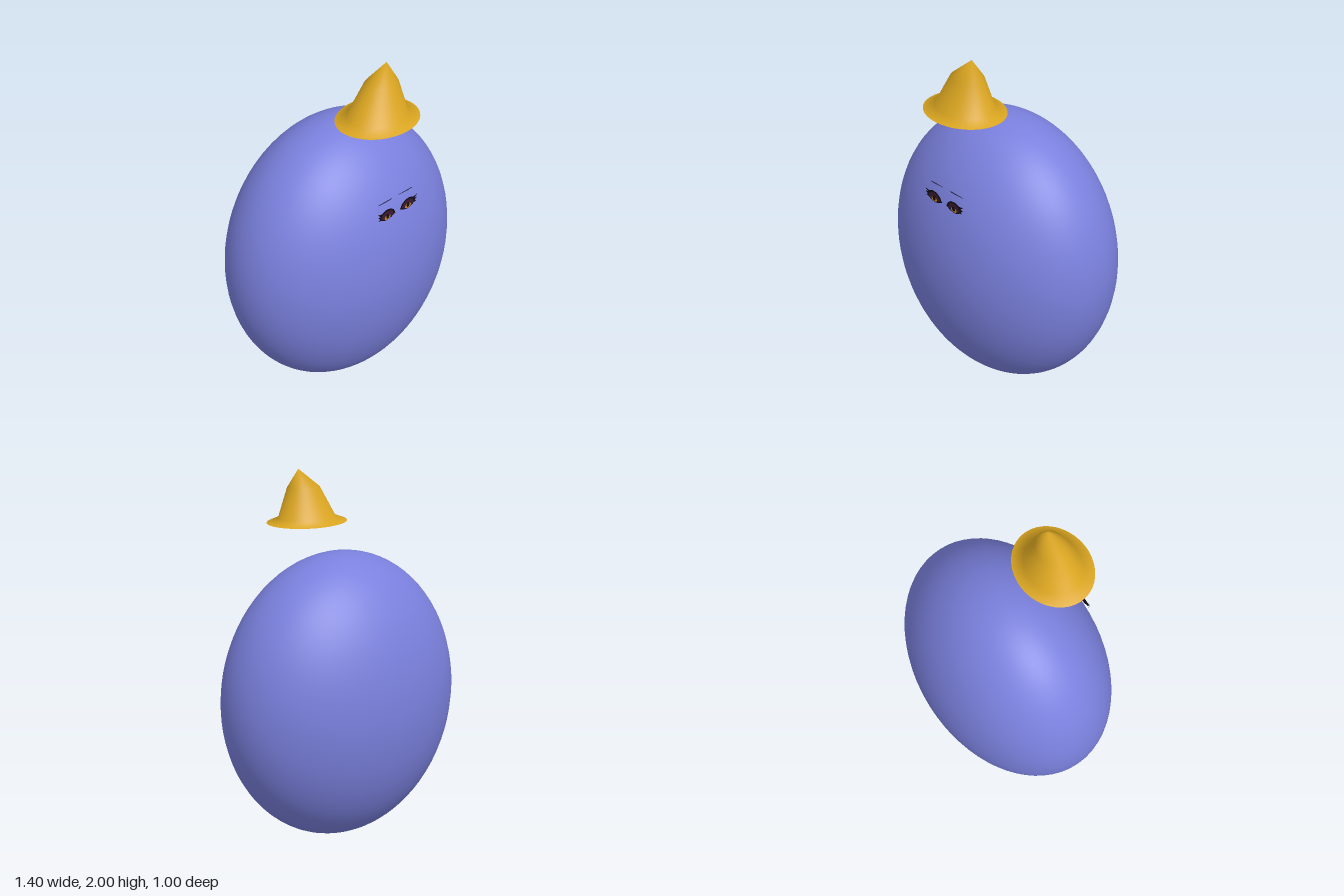
import * as THREE from 'three';

const mat = (name, color, side = THREE.FrontSide) => {
  const m = new THREE.MeshStandardMaterial({ color, side });
  m.name = name;
  return m;
};

// Surface through elliptical rings [cx, y, cz, rx, rz], closed by an apex point
function ringCone(rings, apex, n) {
  const pos = [], idx = [];
  for (const [cx, y, cz, rx, rz] of rings) {
    for (let i = 0; i < n; i++) {
      const a = (i / n) * Math.PI * 2;
      pos.push(cx + rx * Math.sin(a), y, cz + rz * Math.cos(a));
    }
  }
  pos.push(...apex);
  const last = rings.length - 1, tip = rings.length * n;
  for (let i = 0; i < n; i++) {
    const j = (i + 1) % n;
    for (let r = 0; r < last; r++) {
      const a = r * n + i, b = r * n + j;
      idx.push(a, b, b + n, a, b + n, a + n);
    }
    idx.push(last * n + i, last * n + j, tip);
  }
  const g = new THREE.BufferGeometry();
  g.setAttribute('position', new THREE.Float32BufferAttribute(pos, 3));
  g.setIndex(idx);
  g.computeVertexNormals();
  return g;
}

export function createModel() {
  const model = new THREE.Group();
  const blue = mat('periwinkle body', 0x7a80dd);
  const gold = mat('golden felt', 0xdaa520);
  const black = mat('lash black', 0x120c14, THREE.DoubleSide);
  const plum = mat('plum iris', 0x3a1a30, THREE.DoubleSide);
  const amber = mat('amber glint', 0xc88a1c, THREE.DoubleSide);
  const brow = mat('brow navy', 0x22223c, THREE.DoubleSide);

  const add = (parent, name, geometry, material) => {
    const mesh = new THREE.Mesh(geometry, material);
    mesh.name = name;
    parent.add(mesh);
    return mesh;
  };

  // Egg-shaped body
  const body = add(model, 'body', new THREE.SphereGeometry(1, 64, 40), blue);
  body.scale.set(0.7, 0.795, 0.5);
  body.position.y = 0.797;

  // Floating hat with a crooked tip
  const hat = new THREE.Group();
  hat.name = 'hat';
  model.add(hat);
  add(hat, 'hatCrown', ringCone([
    [0, 1.711, 0.278, 0.23, 0.195],
    [0, 1.735, 0.278, 0.165, 0.14],
    [0.022, 1.9, 0.278, 0.093, 0.078],
  ], [0.055, 2.0, 0.278], 40), gold);
  const base = add(hat, 'hatUnderside', new THREE.CircleGeometry(1, 40), gold);
  base.rotation.x = Math.PI / 2;
  base.scale.set(0.23, 0.195, 1);
  base.position.set(0, 1.711, 0.278);

  // Painted eyes and brows, side = 1 is the model's left
  for (const side of [1, -1]) {
    const face = new THREE.Group();
    face.name = side > 0 ? 'leftEye' : 'rightEye';
    face.position.set(side * 0.075, 1.235, 0.434);
    model.add(face);
    const plate = (name, points, material, z) => {
      const shape = new THREE.Shape(points.map(([x, y]) => new THREE.Vector2(side * x, y)));
      add(face, name, new THREE.ShapeGeometry(shape), material).position.z = z;
    };
    const disc = (name, x, y, rx, ry, material, z) => {
      const m = add(face, name, new THREE.CircleGeometry(1, 20), material);
      m.scale.set(rx, ry, 1);
      m.position.set(side * x, y, z);
    };

    plate('eyeOutline', [[-0.058, -0.012], [-0.045, 0.014], [-0.02, 0.031], [0.012, 0.034],
      [0.04, 0.022], [0.058, 0.002], [0.05, -0.012], [0.028, -0.026], [0, -0.032], [-0.03, -0.026]], black, 0);
    plate('iris', [[-0.046, -0.008], [-0.035, 0.012], [-0.015, 0.023], [0.012, 0.025],
      [0.036, 0.012], [0.046, -0.004], [0.026, -0.021], [0, -0.027], [-0.026, -0.021]], plum, 0.001);
    disc('irisGlow', 0, -0.013, 0.022, 0.014, amber, 0.002);
    disc('pupil', 0, -0.007, 0.011, 0.014, black, 0.003);
    // Outer lashes
    plate('upperLash', [[0.036, 0.022], [0.048, 0.01], [0.07, 0.028]], black, 0);
    plate('middleLash', [[0.045, 0.01], [0.055, -0.002], [0.068, 0.01]], black, 0);
    plate('lowerLash', [[0.046, -0.004], [0.044, -0.016], [0.064, -0.012]], black, 0);

    // Thin arched brow, bending back toward its ends
    const strip = new THREE.PlaneGeometry(0.1, 0.006, 12, 1);
    const p = strip.attributes.position;
    for (let i = 0; i < p.count; i++) {
      const t = p.getX(i) / 0.05;
      p.setY(i, p.getY(i) * (1 - 0.6 * t * t) + 0.08 - 0.012 * t * t);
      p.setZ(i, -0.006 - 0.014 * t * t);
    }
    strip.computeVertexNormals();
    add(face, 'brow', strip, brow);
  }
  return model;
}
